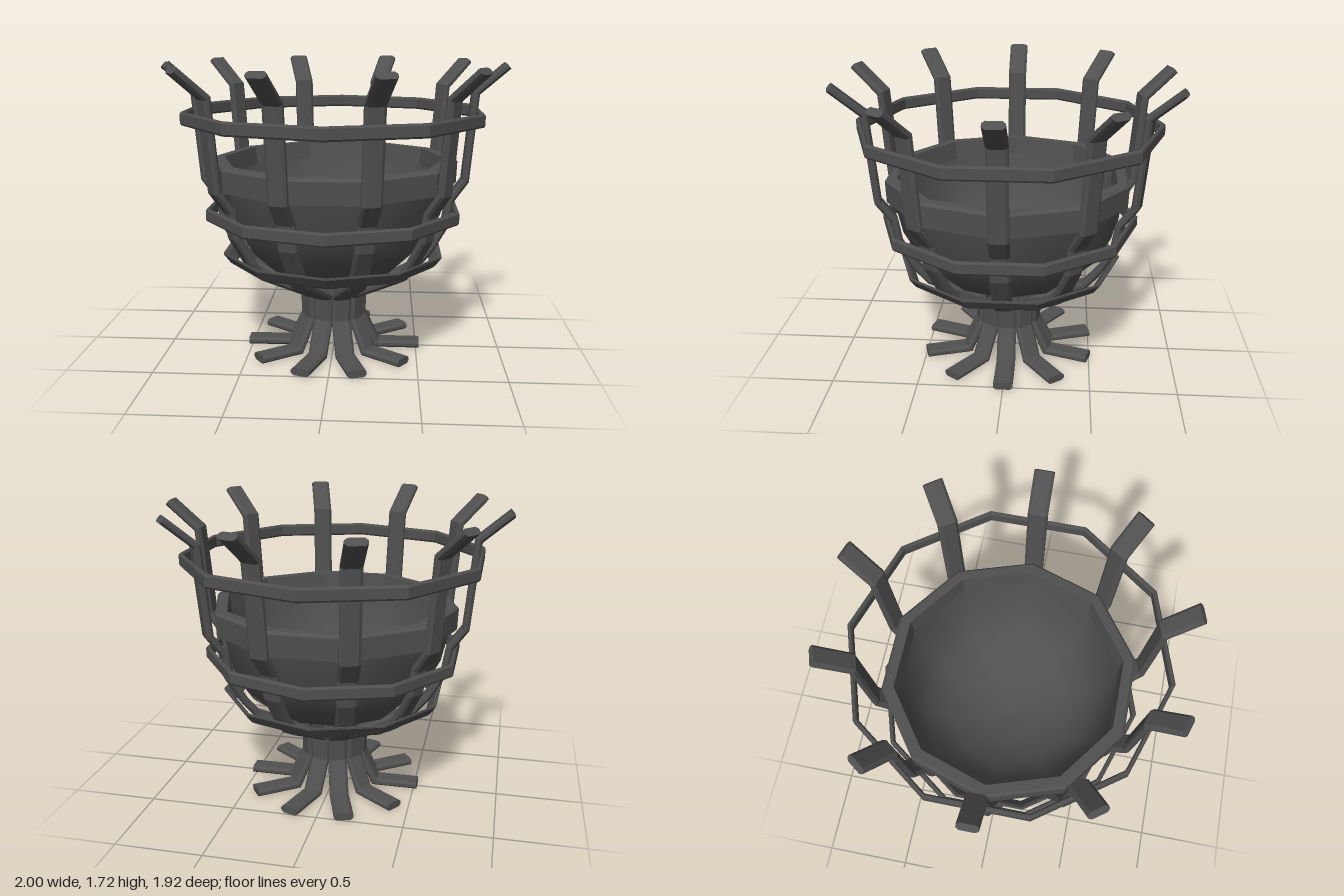
import * as THREE from 'three';

const COUNT = 10;
const STEP = (Math.PI * 2) / COUNT;

// Chamfered flat-bar cross-section: u = thickness direction, v = width direction
function barSection(thickness, width) {
  const t = thickness / 2, w = width / 2;
  return [[t, -w * 0.72], [t, w * 0.72], [t * 0.4, w], [-t * 0.4, w],
    [-t, w * 0.72], [-t, -w * 0.72], [-t * 0.4, -w], [t * 0.4, -w]];
}

// Skins a list of equal-length point loops, either closed on itself or capped
function skin(loops, closed) {
  const n = loops[0].length, m = loops.length, index = [];
  for (let i = 0; i < (closed ? m : m - 1); i++) {
    const k = (i + 1) % m;
    for (let j = 0; j < n; j++) {
      const l = (j + 1) % n;
      const a = i * n + j, b = i * n + l, c = k * n + l, d = k * n + j;
      index.push(a, b, c, a, c, d);
    }
  }
  if (!closed) {
    const e = (m - 1) * n;
    for (let j = 1; j < n - 1; j++) index.push(0, j + 1, j, e, e + j, e + j + 1);
  }
  const geometry = new THREE.BufferGeometry();
  geometry.setAttribute('position', new THREE.Float32BufferAttribute(loops.flat(2), 3));
  geometry.setIndex(index);
  geometry.computeVertexNormals();
  return geometry;
}

// Upright bar bent in the x-y plane, with mitred corners
function bentBar(path, thickness, width) {
  const points = path.map(([x, y]) => new THREE.Vector2(x, y));
  const section = barSection(thickness, width);
  const last = points.length - 1;
  const loops = points.map((p, i) => {
    const before = points[Math.max(i, 1)].clone().sub(points[Math.max(i, 1) - 1]).normalize();
    const j = Math.min(i, last - 1);
    const after = points[j + 1].clone().sub(points[j]).normalize();
    const t = before.clone().add(after).normalize();
    const stretch = 1 / Math.max(0.5, t.dot(after));
    return section.map(([u, v]) => [p.x + t.y * u * stretch, p.y - t.x * u * stretch, -v]);
  });
  return skin(loops, false);
}

// Ten-sided hoop whose corners fall between the bars; slope leans the band outward
function hoop(radius, y, height, slope) {
  const section = barSection(0.026, height);
  const loops = [];
  for (let i = 0; i < COUNT; i++) {
    const a = (i + 0.5) * STEP;
    loops.push(section.map(([u, v]) => {
      const r = radius + u + v * slope;
      return [r * Math.cos(a), y + v, r * Math.sin(a)];
    }));
  }
  return skin(loops, true);
}

function turned(profile) {
  const points = profile.map(([x, y]) => new THREE.Vector2(x, y));
  return new THREE.LatheGeometry(points, COUNT, Math.PI / 2);
}

export function createModel() {
  const model = new THREE.Group();
  model.name = 'fireBasket';
  const flat = new THREE.MeshStandardMaterial({ color: 0x505050, flatShading: true });
  const smooth = new THREE.MeshStandardMaterial({ color: 0x505050, side: THREE.DoubleSide });
  const add = (name, geometry, material, parent = model) => {
    const mesh = new THREE.Mesh(geometry, material);
    mesh.name = name;
    parent.add(mesh);
    return mesh;
  };

  // Bars: foot, waist, cage side and flared tip in one strip
  const bars = new THREE.Group();
  bars.name = 'bars';
  model.add(bars);
  const bar = bentBar([[0.52, 0.022], [0.26, 0.022], [0.17, 0.21], [0.175, 0.36],
    [0.49, 0.52], [0.57, 0.62], [0.655, 0.77], [0.68, 0.92], [0.765, 1.04],
    [0.81, 1.55], [0.984, 1.7]], 0.044, 0.112);
  for (let i = 0; i < COUNT; i++) add('bar', bar, flat, bars).rotation.y = i * STEP;

  // Hoops around the outside of the bars
  add('upperHoop', hoop(0.87, 1.417, 0.075, 0), flat);
  add('middleHoop', hoop(0.745, 0.86, 0.075, 0), flat);
  add('lowerHoop', hoop(0.63, 0.592, 0.075, 0.75), flat);

  // Bowl with a raised rim band
  add('bowlOutside', turned([[0, 0.42], [0.2, 0.45], [0.4, 0.53], [0.54, 0.66],
    [0.63, 0.83], [0.675, 1.03]]), smooth);
  add('bowlInside', turned([[0.635, 1.06], [0.59, 0.84], [0.5, 0.68], [0.37, 0.56],
    [0.19, 0.48], [0, 0.46]]), smooth);
  add('bowlRim', turned([[0.67, 1.02], [0.715, 1.025], [0.72, 1.15], [0.705, 1.165],
    [0.65, 1.165], [0.635, 1.06]]), flat);

  return model;
}
